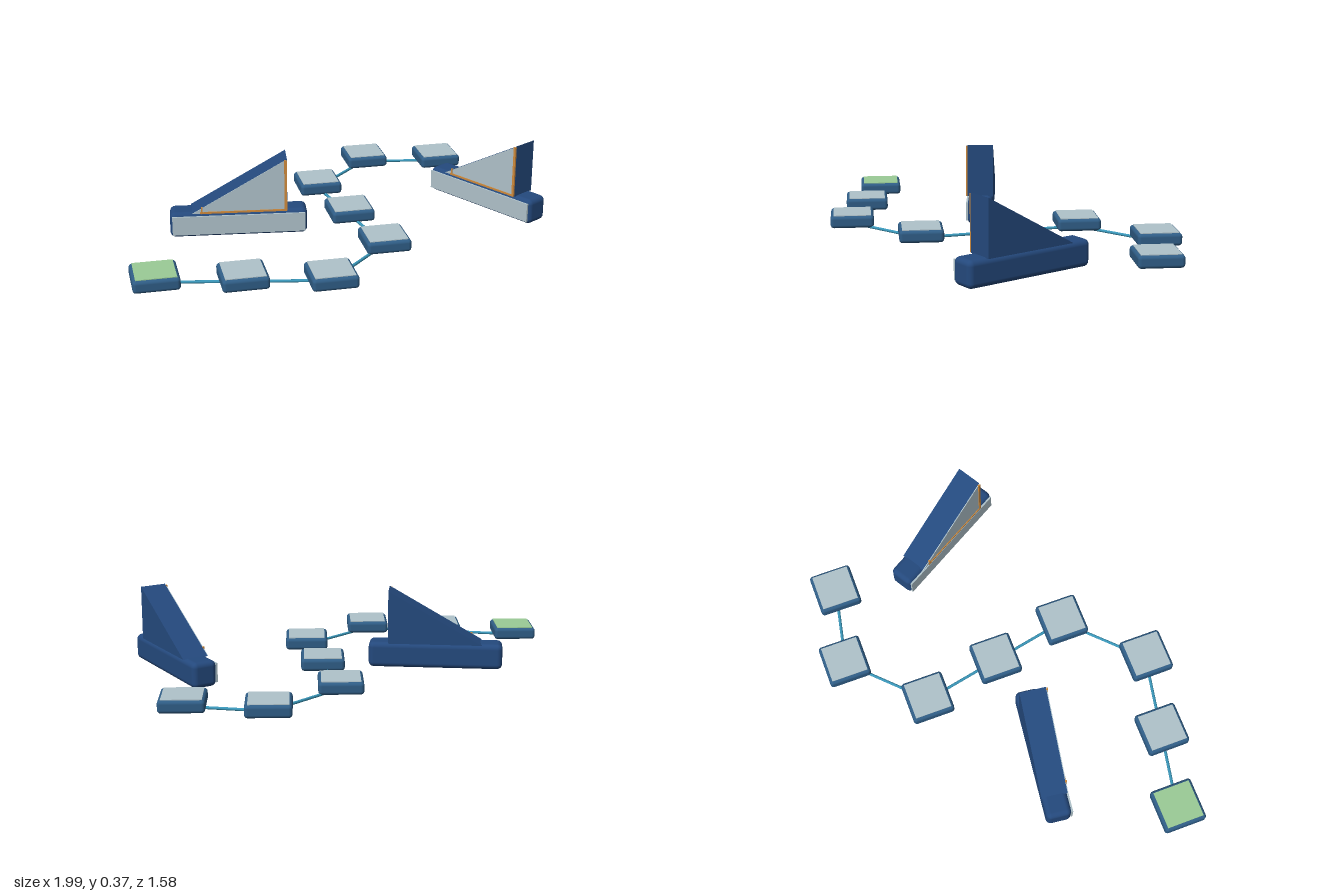
import * as THREE from 'three';
import { RoundedBoxGeometry } from 'three/addons/geometries/RoundedBoxGeometry.js';

function material(name, color) {
  const m = new THREE.MeshStandardMaterial({ color });
  m.name = name;
  return m;
}

export function createModel() {
  const navy = material('navy', 0x24497d);
  const tileBlue = material('tile blue', 0x2f5d86);
  const paleGrey = material('pale grey', 0xafc2ca);
  const green = material('green', 0x9acb96);
  const cyan = material('cyan', 0x3a98bb);
  const orange = material('orange', 0xcf8a3c);

  const model = new THREE.Group();
  model.name = 'steppingPathAndWedges';

  function add(parent, name, geometry, mat, x = 0, y = 0, z = 0) {
    const mesh = new THREE.Mesh(geometry, mat);
    mesh.name = name;
    mesh.position.set(x, y, z);
    parent.add(mesh);
    return mesh;
  }

  // Path tiles: rounded slab with a thin coloured top plate
  const stops = [
    [-0.895, 0.535], [-0.524, 0.61], [-0.152, 0.684], [0.166, 0.369],
    [0.092, -0.005], [0.017, -0.38], [0.334, -0.695], [0.706, -0.62],
  ];
  const slab = new RoundedBoxGeometry(0.205, 0.058, 0.205, 3, 0.016);
  const plate = new THREE.BoxGeometry(0.178, 0.006, 0.178);
  stops.forEach(([x, z], i) => {
    const tile = new THREE.Group();
    tile.name = i === 0 ? 'startTile' : 'pathTile';
    tile.position.set(x, 0, z);
    add(tile, 'tileSlab', slab, tileBlue, 0, 0.045, 0);
    add(tile, 'tileTop', plate, i === 0 ? green : paleGrey, 0, 0.074, 0);
    model.add(tile);
  });

  // Thin rods running underneath from tile to tile
  for (let i = 0; i < stops.length - 1; i++) {
    const a = new THREE.Vector3(stops[i][0], 0.018, stops[i][1]);
    const b = new THREE.Vector3(stops[i + 1][0], 0.018, stops[i + 1][1]);
    const rod = new THREE.TubeGeometry(new THREE.LineCurve3(a, b), 1, 0.007, 8);
    add(model, 'pathRod', rod, cyan);
  }

  // Triangle in the xy plane, extruded along z
  function triangle(x0, x1, y0, y1, depth) {
    const s = new THREE.Shape();
    s.moveTo(x0, y0);
    s.lineTo(x1, y0);
    s.lineTo(x1, y1);
    s.closePath();
    return new THREE.ExtrudeGeometry(s, { depth, bevelEnabled: false });
  }

  // Wedge block: rounded base, ramp, pale front faces and orange trim
  function wedge(name, x, z, angle) {
    const g = new THREE.Group();
    g.name = name;
    g.position.set(x, 0, z);
    g.rotation.y = angle;
    add(g, 'base', new RoundedBoxGeometry(0.636, 0.122, 0.12, 4, 0.025), navy, 0, 0.062, 0);
    add(g, 'baseFrontPlate', new THREE.BoxGeometry(0.615, 0.09, 0.009), paleGrey, 0, 0.062, 0.0625);
    add(g, 'ramp', triangle(-0.22, 0.225, 0.12, 0.375, 0.124), navy, 0, 0, -0.062);
    add(g, 'rampFrontPlate', triangle(-0.215, 0.222, 0.122, 0.372, 0.004), paleGrey, 0, 0, 0.062);
    add(g, 'bottomTrim', new THREE.BoxGeometry(0.4, 0.009, 0.009), orange, 0.022, 0.126, 0.0655);
    add(g, 'tallTrim', new THREE.BoxGeometry(0.012, 0.248, 0.009), orange, 0.218, 0.246, 0.0655);
    add(g, 'shortTrim', new THREE.BoxGeometry(0.008, 0.032, 0.009), orange, -0.17, 0.137, 0.0655);
    model.add(g);
  }
  wedge('rightWedge', -0.449, 0.031, -0.122);
  wedge('leftWedge', 0.789, -0.031, -1.04);

  return model;
}
